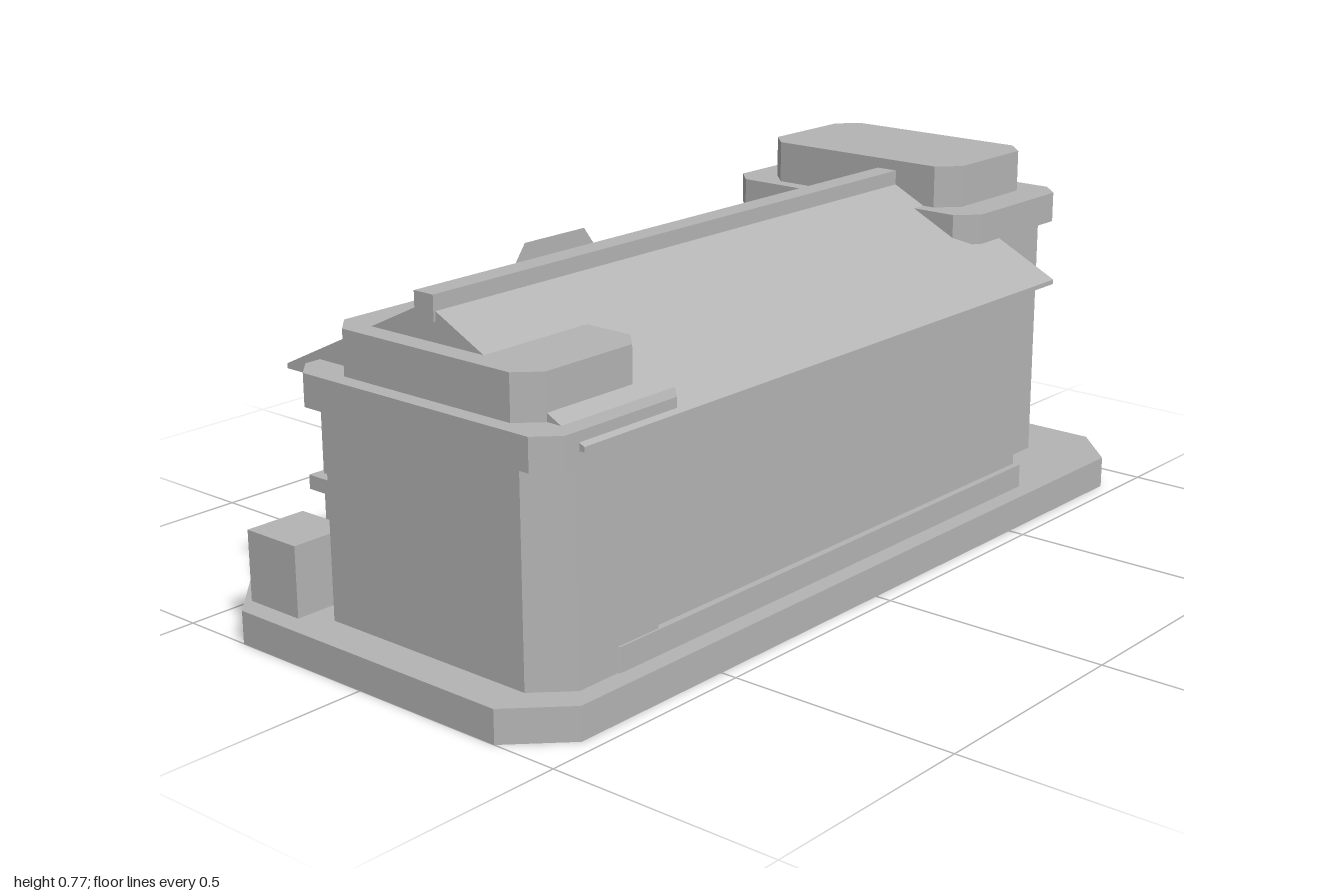
import * as THREE from 'three';

const stone = new THREE.MeshStandardMaterial({ color: 0xb4b4b4, side: THREE.DoubleSide });
stone.name = 'grey stone';

export function createModel() {
  const model = new THREE.Group();
  model.name = 'shopBuilding';

  const add = (name, geometry, parent = model) => {
    const mesh = new THREE.Mesh(geometry, stone);
    mesh.name = name;
    parent.add(mesh);
    return mesh;
  };
  // Box given by its limits on each axis
  const box = (name, x0, x1, y0, y1, z0, z1) => {
    const mesh = add(name, new THREE.BoxGeometry(x1 - x0, y1 - y0, z1 - z0));
    mesh.position.set((x0 + x1) / 2, (y0 + y1) / 2, (z0 + z1) / 2);
    return mesh;
  };
  // Plan outline with cut corners (shape y runs along -z)
  const octagon = (x0, x1, z0, z1, c) => [
    [x0 + c, -z1], [x1 - c, -z1], [x1, -z1 + c], [x1, -z0 - c],
    [x1 - c, -z0], [x0 + c, -z0], [x0, -z0 - c], [x0, -z1 + c],
  ].map(([x, y]) => new THREE.Vector2(x, y));
  const prism = (name, x0, x1, y0, y1, z0, z1, c, wall = 0) => {
    const shape = new THREE.Shape(octagon(x0, x1, z0, z1, c));
    if (wall) {
      shape.holes.push(new THREE.Path(
        octagon(x0 + wall, x1 - wall, z0 + wall, z1 - wall, c - wall * 0.59)));
    }
    const g = new THREE.ExtrudeGeometry(shape, { depth: y1 - y0, bevelEnabled: false });
    g.rotateX(-Math.PI / 2);
    g.translate(0, y0, 0);
    return add(name, g);
  };

  // Hollow base: a top slab on a thin rim
  prism('baseTop', -1, 1, 0.06, 0.07, -0.45, 0.465, 0.11);
  prism('baseRim', -1, 1, 0, 0.06, -0.45, 0.465, 0.11, 0.005);

  // Hall and its plinth, whose skirt reaches down into the base
  prism('plinth', -0.785, 0.64, 0.07, 0.122, -0.325, 0.425, 0.045);
  prism('plinthSkirt', -0.785, 0.64, 0.03, 0.065, -0.325, 0.425, 0.045, 0.005);
  prism('hallWalls', -0.765, 0.62, 0.12, 0.535, -0.31, 0.41, 0.03);

  // Gabled roof with ridge beam and rear eave beam
  const gable = new THREE.Shape([
    [-0.445, 0.53], [0.345, 0.53], [0.345, 0.54], [-0.03, 0.72], [-0.08, 0.72], [-0.445, 0.54],
  ].map(([x, y]) => new THREE.Vector2(x, y)));
  const roof = new THREE.ExtrudeGeometry(gable, { depth: 1.52, bevelEnabled: false });
  roof.rotateY(Math.PI / 2);
  roof.translate(-0.85, 0, 0);
  add('roof', roof);
  box('ridgeBeam', -0.855, 0.66, 0.7, 0.752, 0.03, 0.08);
  box('rearEaveBeam', -0.8, 0.62, 0.495, 0.53, -0.335, -0.3);

  // Towers: body, wide cap and narrower top block
  const tower = (side, x, z, yCap, yTop, yEnd) => {
    prism(side + 'TowerBody', x - 0.178, x + 0.178, 0.07, yCap, z - 0.327, z + 0.327, 0.07);
    prism(side + 'TowerCap', x - 0.193, x + 0.193, yCap, yTop, z - 0.34, z + 0.34, 0.045);
    prism(side + 'TowerTop', x - 0.158, x + 0.158, yTop, yEnd, z - 0.263, z + 0.263, 0.045);
  };
  tower('left', 0.732, -0.033, 0.615, 0.682, 0.775);
  tower('right', -0.738, 0.093, 0.5, 0.567, 0.66);

  // Rear door with posts, step and handle
  box('door', -0.21, 0.03, 0.12, 0.47, -0.317, -0.308);
  for (const x of [-0.23, 0.05]) box('doorPost', x - 0.015, x + 0.015, 0.07, 0.5, -0.345, -0.305);
  box('lintel', -0.245, 0.065, 0.47, 0.5, -0.345, -0.305);
  box('doorStep', -0.245, 0.085, 0.03, 0.1, -0.385, -0.3);
  box('doorHandle', -0.17, -0.14, 0.25, 0.28, -0.34, -0.31);
  box('rearPanel', -0.4, -0.28, 0.16, 0.4, -0.318, -0.309);

  // Tapered posts by the door, one with a cross board
  for (const [x, h] of [[0.15, 0.3], [-0.335, 0.27]]) {
    const g = new THREE.CylinderGeometry(0.028, 0.044, h, 4).toNonIndexed();
    g.rotateY(Math.PI / 4);
    g.computeVertexNormals();
    add('taperedPost', g).position.set(x, 0.07 + h / 2, -0.352);
  }
  box('crossBoard', 0.06, 0.25, 0.25, 0.29, -0.345, -0.305);
  box('crossUpright', 0.175, 0.205, 0.2, 0.42, -0.335, -0.305);

  // Shelves on the rear of the large tower
  box('shelfUpright', 0.725, 0.755, 0.17, 0.47, -0.385, -0.355);
  box('upperShelf', 0.63, 0.85, 0.405, 0.432, -0.413, -0.355);
  box('lowerShelf', 0.63, 0.85, 0.28, 0.317, -0.4, -0.355);

  // Shield with a raised point, facing the rear
  const shield = (name, w, h, depth) => {
    const rim = [[0, 0], [-w, 0.72 * h], [-0.6 * w, h], [0.6 * w, h], [w, 0.72 * h]];
    const p = [];
    rim.forEach(([x, y], i) => {
      const [u, v] = rim[(i + 1) % rim.length];
      p.push(0, 0.58 * h, -depth, x, y, 0, u, v, 0);
      p.push(0, 0.58 * h, 0, u, v, 0, x, y, 0);
    });
    const g = new THREE.BufferGeometry();
    g.setAttribute('position', new THREE.Float32BufferAttribute(p, 3));
    g.computeVertexNormals();
    return add(name, g);
  };
  shield('roofShield', 0.155, 0.295, 0.042).position.set(-0.085, 0.36, -0.355);
  box('roofShieldMount', -0.195, 0.02, 0.52, 0.61, -0.356, -0.285);

  // Two small shields leaning on stands over a low slab
  box('displaySlab', 0.37, 0.83, 0.07, 0.106, -0.42, -0.33);
  for (const x of [0.47, 0.677]) {
    const s = shield('displayShield', 0.09, 0.182, 0.042);
    s.position.set(x, 0.1, -0.412);
    s.rotation.x = -0.2;
    const stand = box('displayStand', x - 0.035, x + 0.005, 0.11, 0.23, -0.41, -0.366);
    stand.rotation.x = -0.2;
  }

  // Crate and corner post at the right rear
  box('crate', -0.955, -0.815, 0.07, 0.22, -0.365, -0.225);
  box('cornerPost', -0.785, -0.755, 0.12, 0.5, -0.33, -0.3);
  for (const y of [0.27, 0.44]) box('cornerBracket', -0.81, -0.745, y, y + 0.03, -0.345, -0.285);

  return model;
}
